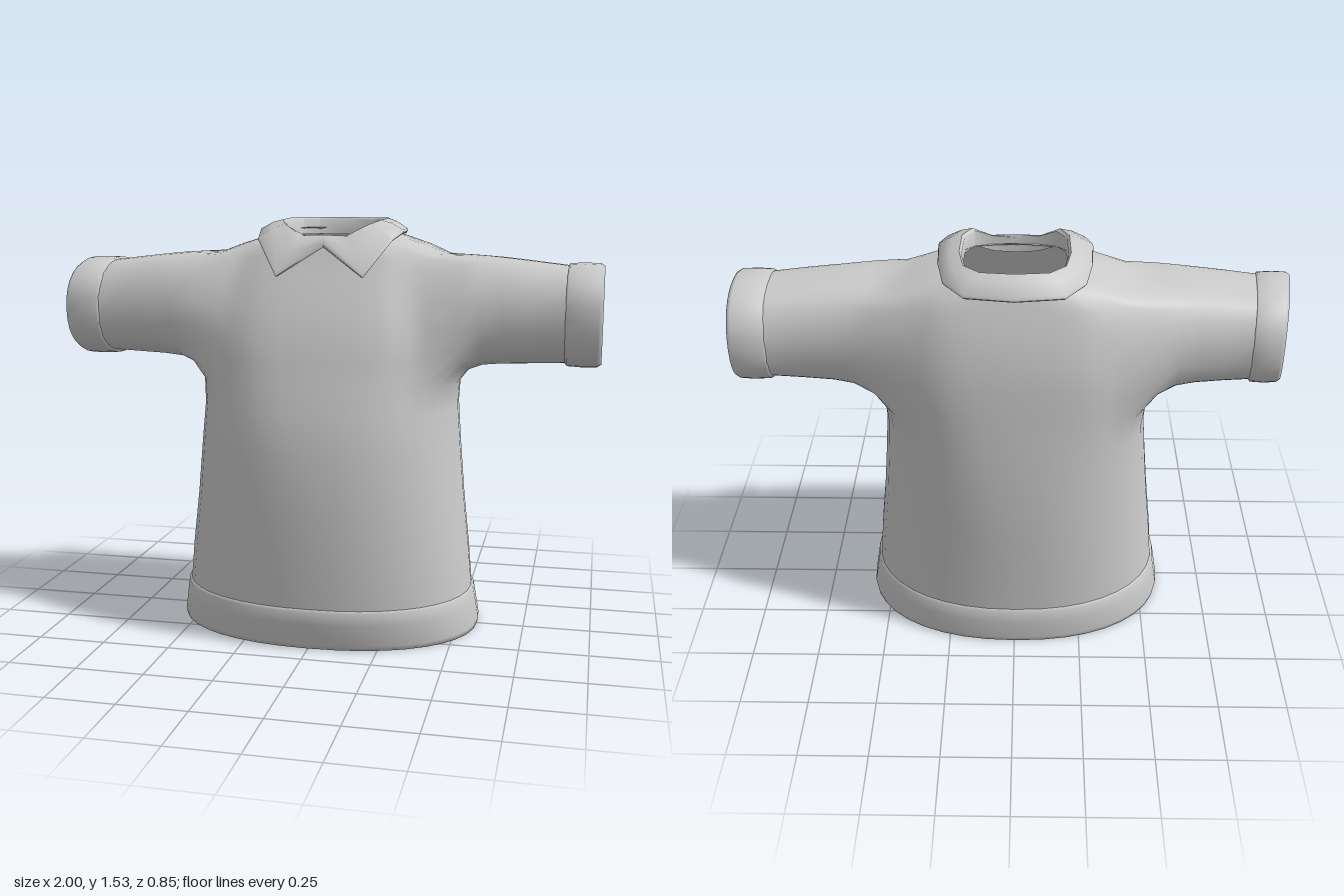
import * as THREE from 'three';
import { toCreasedNormals } from 'three/addons/utils/BufferGeometryUtils.js';

const N = 40; // points round the torso
const HALF = 5; // columns either side of an armhole centre
const LOW = 5, HIGH = 10; // torso rings below and above the armholes

const material = () => new THREE.MeshStandardMaterial({ color: 0xcccccc, side: THREE.DoubleSide });
const lerp = THREE.MathUtils.lerp;
const spow = (v, e) => Math.sign(v) * Math.pow(Math.abs(v), e);

// Rounded horizontal ring: height, half width, front z, back z, squareness, front drop
function torsoRing([y, a, zf, zb, n = 2.2, drop = 0]) {
  return Array.from({ length: N }, (_, i) => {
    const t = (i / N) * Math.PI * 2, c = Math.cos(t), s = Math.sin(t);
    return [a * spow(c, 2 / n), y - drop * Math.max(0, s), (zf + zb) / 2 + ((zf - zb) / 2) * spow(s, 2 / n)];
  });
}

// Point of a sleeve ring; the right sleeve ends on a slant
function sleevePoint(side, [x, top, bottom, zf, zb], phi) {
  const z = (zf + zb) / 2 + ((zf - zb) / 2) * spow(Math.cos(phi), 0.88);
  const y = (top + bottom) / 2 + ((top - bottom) / 2) * spow(Math.sin(phi), 0.88);
  const slant = side < 0 ? 0.065 * Math.max(0, (x - 0.6) / 0.4) * (0.16 - z) / 0.4 : 0;
  return [side * (x - slant), y, z];
}

function makeGeometry(points, index) {
  const g = new THREE.BufferGeometry();
  g.setAttribute('position', new THREE.Float32BufferAttribute(points.flat(), 3));
  g.setIndex(index);
  g.computeVertexNormals();
  return g;
}

// Skin through a list of closed rings with equal point counts
function loft(rings) {
  const m = rings[0].length, index = [];
  for (let j = 0; j < rings.length - 1; j++) {
    for (let i = 0; i < m; i++) {
      const a = j * m + i, b = j * m + ((i + 1) % m);
      index.push(a, a + m, b + m, a, b + m, b);
    }
  }
  return makeGeometry(rings.flat(), index);
}

// Torso and sleeves in one continuous skin, open at neck, cuffs and hem
function shirtBody() {
  const rings = [
    [0.14, 0.55, 0.41, -0.405], [0.3, 0.535, 0.412, -0.41], [0.5, 0.512, 0.41, -0.422],
    [0.7, 0.493, 0.395, -0.425, 2.3], [0.85, 0.48, 0.36, -0.42, 2.45],
    [0.95, 0.475, 0.325, -0.415, 2.6], [1.03, 0.475, 0.3, -0.41, 2.8],
    [1.12, 0.47, 0.27, -0.405, 3], [1.22, 0.46, 0.225, -0.395, 3],
    [1.32, 0.45, 0.167, -0.37, 3], [1.395, 0.43, 0.125, -0.345, 3],
    [1.435, 0.36, 0.108, -0.33, 2.8], [1.465, 0.27, 0.1, -0.32, 2.6, 0.02], [1.49, 0.185, 0.1, -0.31, 2.6, 0.05],
  ];
  const points = rings.flatMap(torsoRing);
  const index = [];
  const at = (j, i) => j * N + ((i + N) % N);
  const quad = (a, b, c, d) => index.push(a, d, c, a, c, b);

  for (let j = 0; j < rings.length - 1; j++) {
    for (let i = 0; i < N; i++) {
      const column = (i + HALF) % (N / 2);
      if (j >= LOW && j < HIGH && column < 2 * HALF) continue; // armhole
      quad(at(j, i), at(j, i + 1), at(j + 1, i + 1), at(j + 1, i));
    }
  }

  // Sleeves grow from the armhole edges: x, top, bottom, front z, back z
  const sleeve = [
    [0.515, 1.412, 0.982, 0.205, -0.3], [0.57, 1.405, 1.0, 0.182, -0.277],
    [0.65, 1.396, 1.006, 0.172, -0.262], [0.76, 1.384, 1.011, 0.165, -0.25], [0.88, 1.37, 1.016, 0.155, -0.24],
  ];
  for (const side of [1, -1]) {
    const mid = side > 0 ? 0 : N / 2;
    let loop = [];
    for (let i = -HALF; i < HALF; i++) loop.push(at(LOW, mid + i));
    for (let j = LOW; j < HIGH; j++) loop.push(at(j, mid + HALF));
    for (let i = HALF; i > -HALF; i--) loop.push(at(HIGH, mid + i));
    for (let j = HIGH; j > LOW; j--) loop.push(at(j, mid - HALF));
    const angles = loop.map((k) => Math.atan2((points[k][1] - 1.18) / 0.21, (points[k][2] + 0.06) / 0.25));
    for (const ring of sleeve) {
      const next = angles.map((phi) => points.push(sleevePoint(side, ring, phi)) - 1);
      loop.forEach((p, k) => {
        const k1 = (k + 1) % loop.length;
        quad(p, loop[k1], next[k1], next[k]);
      });
      loop = next;
    }
  }

  // Relax the skin round the armholes
  const near = points.map(() => new Set());
  for (let t = 0; t < index.length; t += 3) {
    for (let e = 0; e < 3; e++) {
      const a = index[t + e], b = index[t + ((e + 1) % 3)];
      near[a].add(b);
      near[b].add(a);
    }
  }
  for (let pass = 0; pass < 2; pass++) {
    const old = points.map((p) => [...p]);
    old.forEach((p, k) => {
      const x = Math.abs(p[0]);
      if (p[1] < 0.9 || p[1] > 1.425 || x < 0.28 || x > 0.6) return;
      const ids = [...near[k]];
      for (let c = 0; c < 3; c++) {
        const mean = ids.reduce((sum, q) => sum + old[q][c], 0) / ids.length;
        points[k][c] = lerp(p[c], mean, 0.4);
      }
    });
  }
  return makeGeometry(points, index);
}

// Folded band round the bottom edge
function hem() {
  return loft([
    [0.155, 0.547, 0.407, -0.402], [0.147, 0.557, 0.423, -0.415], [0.1, 0.565, 0.42, -0.42],
    [0.02, 0.578, 0.408, -0.418], [0, 0.574, 0.397, -0.411], [0.008, 0.562, 0.387, -0.4],
    [0.14, 0.54, 0.4, -0.395],
  ].map(torsoRing).reverse());
}

// Folded band at the end of a sleeve: x and how far it stands off the sleeve
function cuff(side) {
  const profile = [
    [0.87, -0.002], [0.877, 0.008], [0.93, 0.011], [0.985, 0.009], [1, 0], [0.995, -0.012], [0.88, -0.012],
  ];
  const rings = profile.map(([x, out]) => Array.from({ length: 32 }, (_, i) =>
    sleevePoint(side, [x, 1.37 + out, 1.014 - out, 0.155 + out, -0.24 - out], (side * i / 32) * Math.PI * 2)));
  return loft(rings);
}

// Turned-down collar with two points at the front
function collar() {
  // Half outline from front to back: fold edge, then outer edge
  const half = [
    [[0, 1.478, 0.108], [0, 1.447, 0.14]],
    [[0.08, 1.487, 0.1], [0.16, 1.337, 0.21]],
    [[0.145, 1.518, 0.075], [0.25, 1.465, 0.115]],
    [[0.178, 1.53, -0.01], [0.272, 1.49, 0]],
    [[0.182, 1.533, -0.15], [0.265, 1.49, -0.15]],
    [[0.165, 1.533, -0.25], [0.24, 1.48, -0.28]],
    [[0.11, 1.533, -0.298], [0.17, 1.468, -0.36]],
    [[0, 1.533, -0.308], [0, 1.463, -0.375]],
  ];
  const mirrored = half.slice(1, -1).reverse().map((pair) => pair.map(([x, y, z]) => [-x, y, z]));
  const outline = [...half, ...mirrored];
  // Rows across the cloth: position from fold to edge, lift
  const rows = [[0, -0.07], [0, -0.012], [0.1, 0.002], [0.5, 0.008], [0.97, 0.002], [1, -0.006], [0.93, -0.016], [0.1, -0.025]];
  const rings = rows.map(([t, lift]) => outline.map(([a, b]) => [
    lerp(a[0], b[0], t), lerp(a[1], b[1], t) + lift, lerp(a[2], b[2], t),
  ]));
  return toCreasedNormals(loft(rings), 0.9);
}

export function createModel() {
  const group = new THREE.Group();
  group.name = 'shirt';
  const add = (name, geometry) => {
    const mesh = new THREE.Mesh(geometry, material());
    mesh.name = name;
    group.add(mesh);
  };
  add('bodyAndSleeves', shirtBody());
  add('hem', hem());
  add('leftCuff', cuff(1));
  add('rightCuff', cuff(-1));
  add('collar', collar());
  return group;
}
